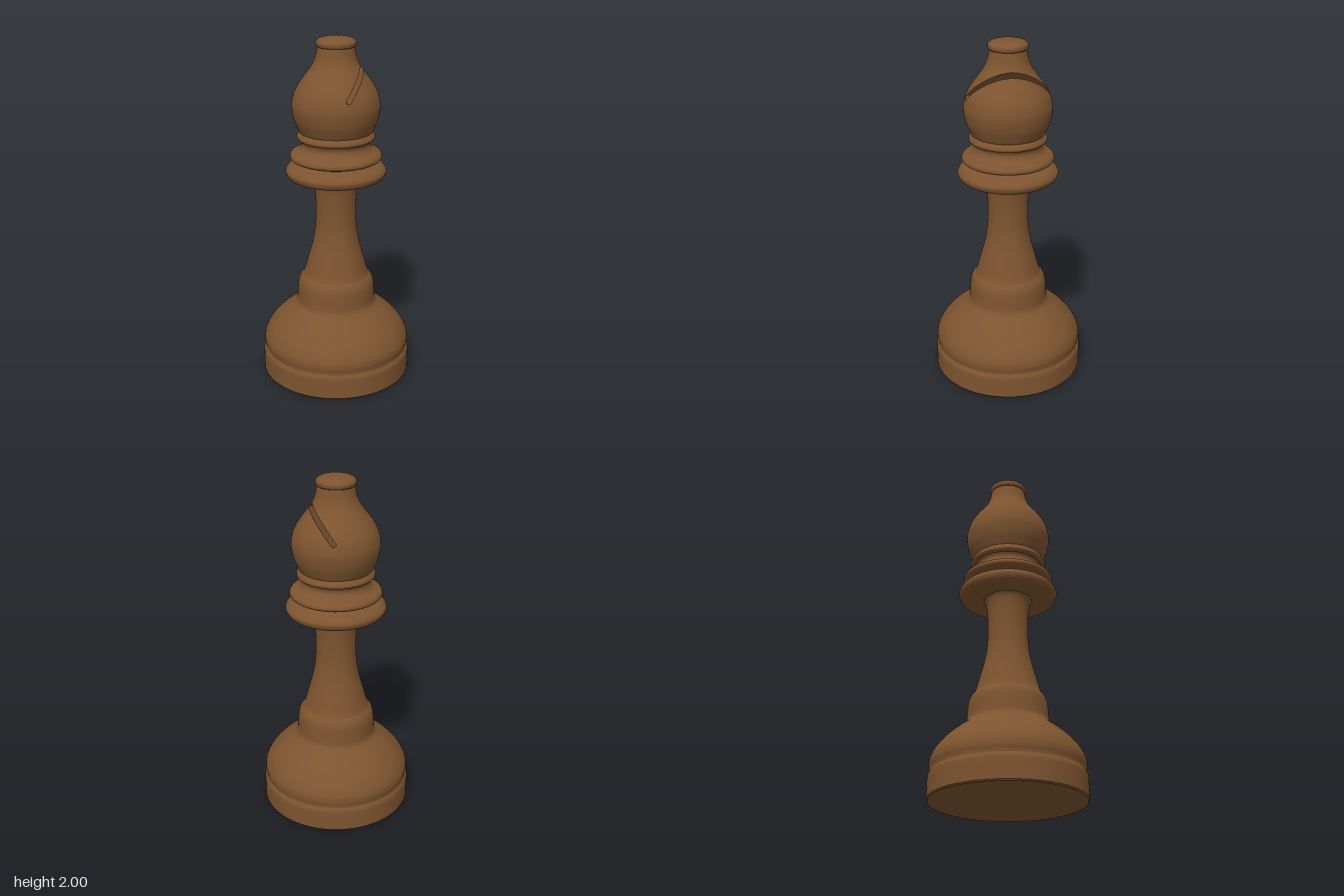
import * as THREE from 'three';

const SIDES = 96;

// Smooth turned section through [radius, height] points, bottom to top
function turned(name, pts, material, steps = pts.length * 5) {
  const curve = new THREE.SplineCurve(pts.map(([r, y]) => new THREE.Vector2(r, y)));
  const mesh = new THREE.Mesh(new THREE.LatheGeometry(curve.getPoints(steps), SIDES), material);
  mesh.name = name;
  return mesh;
}

// Grid surface: point(i, j) gives a position, normal(i, j) optionally a normal
function grid(rows, cols, point, normal) {
  const pos = [], nor = [], idx = [];
  for (let i = 0; i <= rows; i++) for (let j = 0; j <= cols; j++) {
    pos.push(...point(i, j));
    if (normal) nor.push(...normal(i, j));
    if (i < rows && j < cols) {
      const a = i * (cols + 1) + j, d = a + cols + 1;
      idx.push(a, a + 1, d, d + 1, d, a + 1);
    }
  }
  const g = new THREE.BufferGeometry();
  g.setAttribute('position', new THREE.Float32BufferAttribute(pos, 3));
  g.setIndex(idx);
  if (normal) g.setAttribute('normal', new THREE.Float32BufferAttribute(nor, 3));
  else g.computeVertexNormals();
  return g;
}

// Round head with a slanted slot cut right through it from front to back
function slottedHead(material) {
  const head = new THREE.Group();
  head.name = 'head';
  const profile = new THREE.SplineCurve([
    [0.205, 1.472], [0.216, 1.495], [0.236, 1.545], [0.247, 1.605], [0.244, 1.65], [0.229, 1.7],
    [0.2, 1.75], [0.165, 1.797], [0.135, 1.84], [0.115, 1.885], [0.102, 1.945],
  ].map(([r, y]) => new THREE.Vector2(r, y)));
  const n = 140, rings = profile.getPoints(n);
  const slopes = rings.map((_, i) => profile.getTangent(i / n));

  // Slot edges at height y: straight sides with a rounded lower end
  const cx = 0.024, cy = 1.69, half = 0.0145, dx = 0.62, dy = 0.785;
  const edge = (y, side) => {
    const ty = cy - side * dx * half;
    if (y > ty) return cx + side * dy * half + (y - ty) * dx / dy;
    return cx + side * Math.sqrt(Math.max(0, half * half - (y - cy) ** 2));
  };

  for (const side of [-1, 1]) {
    const cut = rings.map(p => Math.acos(THREE.MathUtils.clamp(edge(p.y, side) / p.x, -1, 1)));
    const angle = (i, j) => {
      const t = j / SIDES;
      return side < 0 ? cut[i] + t * 2 * (Math.PI - cut[i]) : cut[i] * (2 * t - 1);
    };
    // Outer skin on this side of the slot, up to where it runs out
    let rows = n;
    if (side > 0) rows = Math.min(n, cut.findIndex(a => a === 0));
    const skin = new THREE.Mesh(grid(rows, SIDES, (i, j) => {
      const t = angle(i, j), p = rings[i];
      return [p.x * Math.cos(t), p.y, -p.x * Math.sin(t)];
    }, (i, j) => {
      const t = angle(i, j), s = slopes[i];
      return [s.y * Math.cos(t), -s.x, -s.y * Math.sin(t)];
    }), material);
    skin.name = side < 0 ? 'headMain' : 'headLip';

    // Flat wall inside the slot
    const first = rings.findIndex(p => p.y > cy - half) - 1;
    const last = cut.findIndex(a => a === 0);
    const wall = new THREE.Mesh(grid(last - first, 1, (i, j) => {
      const k = first + i, p = rings[k];
      const z = p.x * Math.sin(cut[k]) * (j ? 1 : -1) * side;
      return [p.x * Math.cos(cut[k]), p.y, z];
    }), material);
    wall.name = side < 0 ? 'slotInnerWall' : 'slotOuterWall';
    head.add(skin, wall);
  }
  return head;
}

export function createModel() {
  const wood = new THREE.MeshStandardMaterial({ color: 0x7d5430 });
  wood.name = 'brown wood';
  const model = new THREE.Group();
  model.name = 'bishop';

  model.add(
    turned('underside', [[0, 0], [0.43, 0]], wood, 1),
    turned('footEdge', [[0.43, 0], [0.436, 0.008]], wood, 1),
    turned('foot', [[0.436, 0.008], [0.436, 0.06], [0.436, 0.115], [0.433, 0.135], [0.424, 0.152]], wood),
    turned('baseDome', [[0.424, 0.152], [0.425, 0.168], [0.429, 0.195], [0.423, 0.232], [0.395, 0.285],
      [0.345, 0.342], [0.295, 0.385], [0.25, 0.42], [0.233, 0.442], [0.228, 0.47], [0.225, 0.52],
      [0.22, 0.56], [0.209, 0.588], [0.193, 0.608]], wood),
    turned('stem', [[0.193, 0.608], [0.182, 0.635], [0.164, 0.7], [0.137, 0.8], [0.121, 0.89], [0.116, 0.98],
      [0.117, 1.07], [0.122, 1.14], [0.131, 1.18], [0.142, 1.2]], wood),
    turned('collarUnderside', [[0.13, 1.2], [0.24, 1.2]], wood, 1),
    turned('collar', [[0.24, 1.2], [0.27, 1.21], [0.284, 1.232], [0.284, 1.252], [0.262, 1.276],
      [0.225, 1.29], [0.212, 1.3]], wood),
    turned('upperCollar', [[0.212, 1.3], [0.235, 1.306], [0.257, 1.318], [0.261, 1.333], [0.249, 1.35],
      [0.215, 1.363], [0.196, 1.382], [0.19, 1.405], [0.198, 1.425]], wood),
    turned('headRing', [[0.198, 1.425], [0.214, 1.43], [0.221, 1.443], [0.216, 1.457], [0.205, 1.472]], wood),
    slottedHead(wood),
    turned('cap', [[0.095, 1.943], [0.107, 1.949], [0.111, 1.962], [0.108, 1.976], [0.09, 1.989],
      [0.05, 1.998], [0, 2]], wood),
  );
  return model;
}
